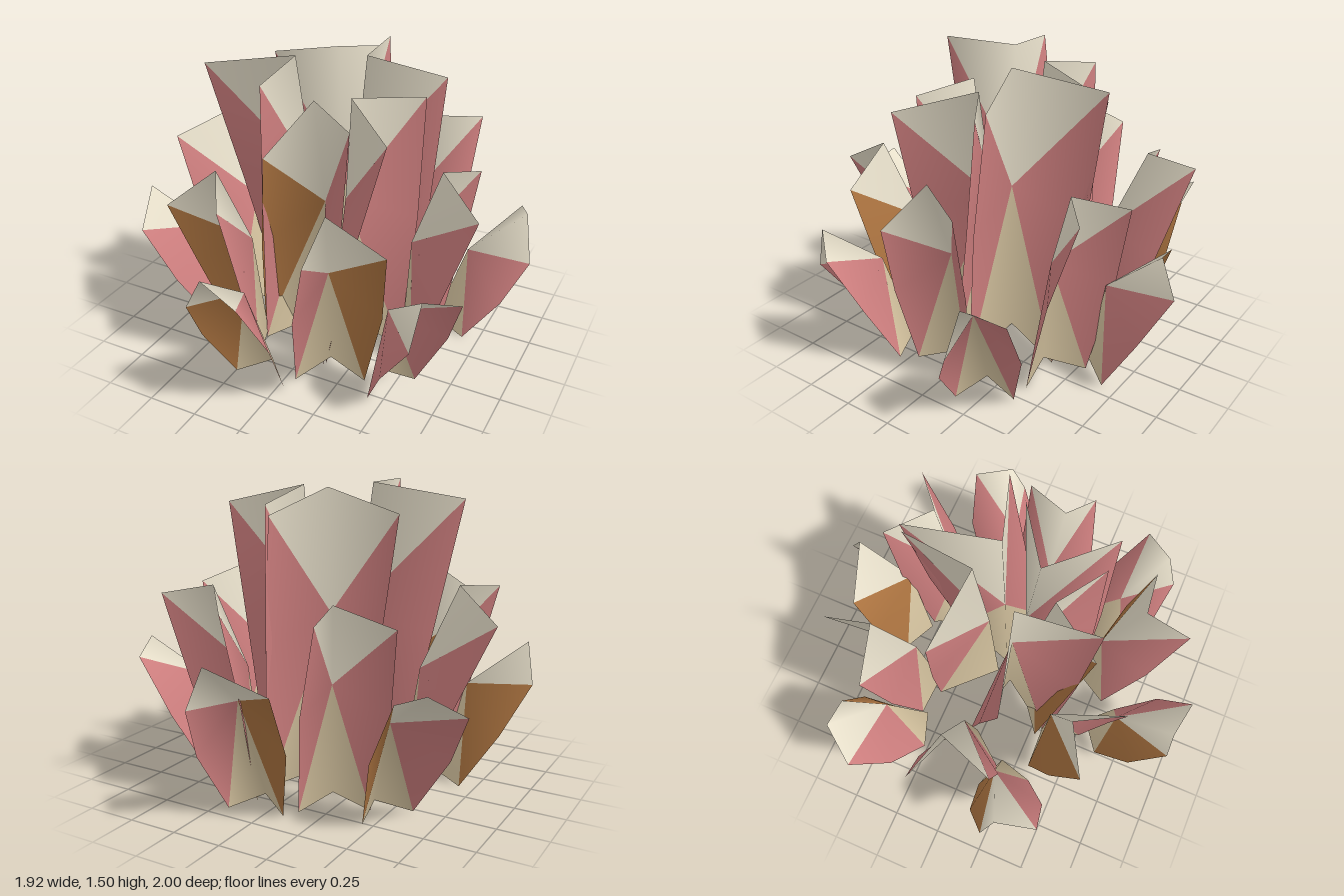
import * as THREE from 'three';

const material = (color) => new THREE.MeshStandardMaterial({ color, side: THREE.DoubleSide });
const CREAM = material(0xe9e1cc);
const TAN = material(0xd6c4a0);
const PINK = material(0xd08080);
const BROWN = material(0xae7541);

// Rings of shards. Foot: radius, half width, depth, twist in degrees.
// Fold: height share and inward kink. Bulge: sideways swelling of the outer edges.
// left/right: turn in degrees and extra reach of the two top corners.
// Each shard: heading in degrees, reach, heights of fold, left and right corner,
// then its own left/right where it differs from the ring.
const INNER = {
  name: 'innerShard', foot: 0.06, half: 0.21, depth: 0.29, twist: -25,
  fold: 0.57, kink: 0.02, bulge: 0.02, brownLeft: [2], brownRight: [],
  shards: [
    [126, 0.14, 1.5, 1.41, 1.45, [-13, 0.38], [51, 0.41]],
    [299, 0.2, 1.51, 1.44, 1.5, [-10, 0.45], [46, 0.31]],
    [-2, 0.23, 1.36, 1.15, 1.31, [-13, 0.28], [35, 0.23]],
    [50, 0.16, 1.35, 1.28, 1.34, [-2, 0.42], [53, 0.27]],
    [202, 0.16, 1.5, 1.4, 1.4, [-24, 0.38], [45, 0.34]],
  ],
};
const MIDDLE = {
  name: 'middleShard', foot: 0.4, half: 0.17, depth: 0.13, twist: -10,
  fold: 0.58, kink: 0.07, bulge: 0.03, brownLeft: [5], brownRight: [0],
  left: [-5, 0.23], right: [20, 0.13],
  shards: [
    [22, 0.67, 1.01, 0.88, 0.86],
    [84, 0.58, 1.05, 0.88, 0.98],
    [149, 0.64, 1.06, 1.03, 0.98],
    [210, 0.67, 1.04, 1, 0.95],
    [267, 0.7, 1.07, 0.92, 1.03],
    [321, 0.63, 1.03, 0.86, 0.95],
  ],
};
const OUTER = {
  name: 'outerShard', foot: 0.53, half: 0.14, depth: 0.12, twist: 0,
  fold: 0.68, kink: 0.15, bulge: 0.05, brownLeft: [0, 4, 5], brownRight: [3],
  left: [-4, 0.03], right: [12, 0.02],
  shards: [
    [-11, 0.98, 0.75, 0.6, 0.68],
    [49, 0.95, 0.71, 0.48, 0.64],
    [112, 0.96, 0.7, 0.45, 0.64],
    [172, 0.92, 0.78, 0.6, 0.66, [-1, 0.09], [19, -0.08]],
    [232, 1.03, 0.72, 0.66, 0.6, [-6, -0.11], [11, 0.02]],
    [289, 0.98, 0.75, 0.55, 0.6],
  ],
};

// Point at a heading (0 = front), radius and height
const polar = (degrees, radius, y) =>
  new THREE.Vector3().setFromCylindricalCoords(radius, THREE.MathUtils.degToRad(degrees), y);

// A sheet folded along its middle, with the fold towards the cluster's centre
function makeShard(ring, numbers, index) {
  const [heading, reach, foldY, leftY, rightY, left = ring.left, right = ring.right] = numbers;
  const foot = polar(heading, ring.foot, 0.05);
  const topM = polar(heading, reach, foldY);
  const topL = polar(heading + left[0], reach + left[1], leftY);
  const topR = polar(heading + right[0], reach + right[1], rightY);

  // Outward and sideways directions of the foot
  const out = topL.clone().add(topR).multiplyScalar(0.5).sub(foot).setY(0).normalize();
  out.applyAxisAngle(new THREE.Vector3(0, 1, 0), THREE.MathUtils.degToRad(ring.twist));
  const side = new THREE.Vector3(out.z, 0, -out.x);

  // Foot corners, centre of the fold and bulging outer edges
  const corner = (sign) =>
    foot.clone().addScaledVector(out, ring.depth).addScaledVector(side, sign * ring.half).setY(0.01);
  const footL = corner(-1);
  const footR = corner(1);
  const middle = foot.clone().lerp(topM, ring.fold).addScaledVector(out, -ring.kink);
  const edge = (a, b, sign) => a.clone().lerp(b, 0.54).addScaledVector(side, sign * ring.bulge);

  // Outline around the centre of the fold, smoothly shaded as one fan
  const outline = [
    foot, footR, edge(footR, topR, 1), topR, topM, topL, edge(footL, topL, -1), footL,
  ];
  const fan = (i) => [0, i + 1, ((i + 1) % outline.length) + 1];
  const sheet = new THREE.BufferGeometry().setFromPoints([middle, ...outline]);
  sheet.setIndex(outline.flatMap((_, i) => fan(i)));
  sheet.computeVertexNormals();

  // One mesh per coloured facet of the sheet
  const shard = new THREE.Group();
  shard.name = ring.name;
  const addFacet = (name, mat, slices) => {
    const mesh = new THREE.Mesh(sheet.clone().setIndex(slices.flatMap(fan)), mat);
    mesh.name = name;
    shard.add(mesh);
  };
  addFacet('shardFoot', TAN, [0, 7]);
  addFacet('rightFlank', ring.brownRight.includes(index) ? BROWN : PINK, [1, 2]);
  addFacet('shardTip', CREAM, [3, 4]);
  addFacet('leftFlank', ring.brownLeft.includes(index) ? BROWN : PINK, [5, 6]);
  return shard;
}

export function createModel() {
  const cluster = new THREE.Group();
  cluster.name = 'shardCluster';
  for (const ring of [INNER, MIDDLE, OUTER]) {
    ring.shards.forEach((shard, i) => cluster.add(makeShard(ring, shard, i)));
  }
  return cluster;
}
